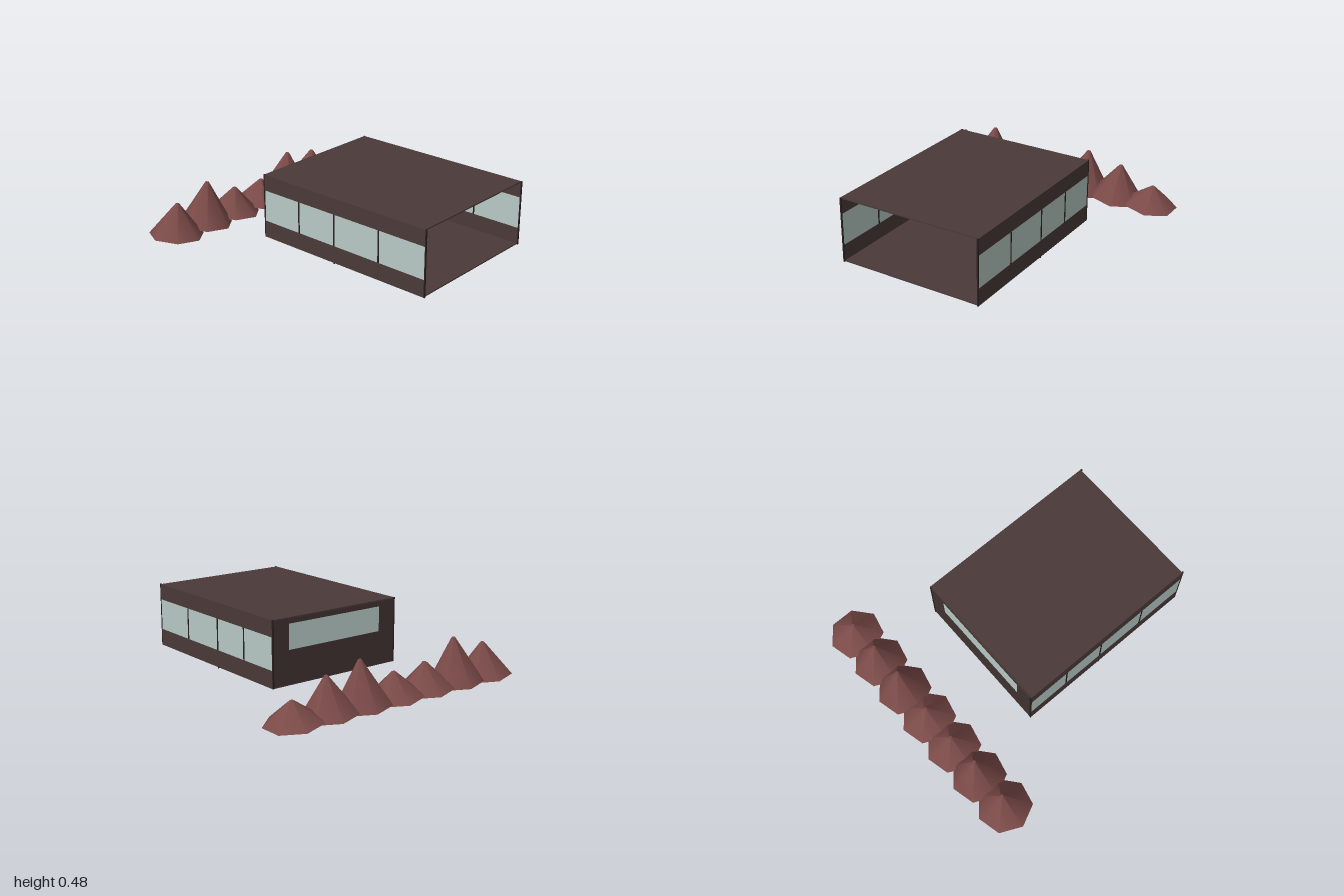
import * as THREE from 'three';

const mat = (name, color) => {
  const m = new THREE.MeshStandardMaterial({ color });
  m.name = name;
  return m;
};

export function createModel() {
  const root = new THREE.Group();
  root.name = 'pavilionWithHills';
  const wall = mat('wallBrown', 0x4a3a39);
  const backBrown = mat('backWallBrown', 0x413231);
  const trim = mat('darkTrim', 0x2a2020);
  const glass = mat('paleGlass', 0xb9cbc7);
  const hillRed = mat('hillRed', 0x7a4a48);
  const bone = mat('paleWood', 0xb5a582);
  const panel = mat('tanPanel', 0xcbb691);
  const orange = mat('orange', 0xc4702f);
  const grey = mat('greyMetal', 0x8a8080);

  const add = (name, geo, m, parent = root) => {
    const mesh = new THREE.Mesh(geo, m);
    mesh.name = name;
    parent.add(mesh);
    return mesh;
  };
  // Box given by its lower and upper corners
  const box = (name, m, x0, x1, y0, y1, z0, z1, parent = root) => {
    const mesh = add(name, new THREE.BoxGeometry(x1 - x0, y1 - y0, z1 - z0), m, parent);
    mesh.position.set((x0 + x1) / 2, (y0 + y1) / 2, (z0 + z1) / 2);
    return mesh;
  };

  // Room shell, open at the front
  const X0 = -0.438, X1 = 0.557, Y0 = 0.052, Y1 = 0.488, Z0 = -0.313, Z1 = 0.99, T = 0.008;
  const room = new THREE.Group();
  room.name = 'room';
  root.add(room);
  box('floor', wall, X0, X1, Y0, Y0 + T, Z0, Z1, room);
  box('roof', wall, X0, X1, Y1 - T, Y1, Z0, Z1, room);
  box('floorJoint', trim, X0 - 0.002, X1 + 0.002, 0.045, Y0 + T, 0.287, 0.293, room);

  // Side walls: two bands, a glass strip and its posts
  const w0 = 0.167, w1 = 0.38;
  for (const [side, x] of [['right', X0], ['left', X1 - T]]) {
    const g = new THREE.Group();
    g.name = side + 'Wall';
    room.add(g);
    box('lowerBand', wall, x, x + T, Y0, w0, Z0, Z1 + 0.006, g);
    box('upperBand', wall, x, x + T, w1, Y1, Z0, Z1 + 0.006, g);
    box('sideGlass', glass, x + 0.001, x + T - 0.001, w0, w1, Z0, Z1, g);
    for (const z of [0.645, 0.29, -0.007])
      box('windowPost', trim, x - 0.002, x + T + 0.002, w0, w1, z - 0.005, z + 0.005, g);
    for (const z of [Z0, Z1 + 0.005])
      box('cornerPost', trim, x - 0.001, x + T + 0.001, Y0, Y1 + 0.001, z - 0.003, z + 0.004, g);
  }

  // Back wall with a wide window
  const bx0 = -0.305, bx1 = 0.43, by0 = 0.28, by1 = 0.447;
  const back = new THREE.Shape();
  back.moveTo(X0, Y0).lineTo(X1, Y0).lineTo(X1, Y1).lineTo(X0, Y1).closePath();
  const hole = new THREE.Path();
  hole.moveTo(bx0, by0).lineTo(bx0, by1).lineTo(bx1, by1).lineTo(bx1, by0).closePath();
  back.holes.push(hole);
  add('backWall', new THREE.ExtrudeGeometry(back, { depth: T, bevelEnabled: false }), backBrown, room).position.z = Z0;
  box('backGlass', glass, bx0, bx1, by0, by1, Z0 + 0.001, Z0 + T - 0.001, room);
  const f = 0.007, fz = Z0 + T;
  box('frameBottom', trim, bx0 - f, bx1 + f, by0 - f, by0, fz, fz + 0.008, room);
  box('frameTop', trim, bx0 - f, bx1 + f, by1, by1 + f, fz, fz + 0.008, room);
  box('frameRight', trim, bx0 - f, bx0, by0, by1, fz, fz + 0.008, room);
  box('frameLeft', trim, bx1, bx1 + f, by0, by1, fz, fz + 0.008, room);

  // Arch of short sticks on the back wall
  const arch = new THREE.Group();
  arch.name = 'stickArch';
  root.add(arch);
  for (let i = 0; i <= 12; i++) {
    const a = (i * Math.PI) / 12;
    const s = add('stick', new THREE.BoxGeometry(0.11, 0.021, 0.02), bone, arch);
    s.position.set(0.06 - 0.463 * Math.cos(a), 0.155 + 0.295 * Math.sin(a), -0.275);
    s.rotation.z = a - Math.PI / 2;
  }

  // Curved orange branches
  const tube = (name, pts, r) => add(name, new THREE.TubeGeometry(
    new THREE.CatmullRomCurve3(pts.map(([x, y]) => new THREE.Vector3(x, y, -0.25))), 20, r, 7), orange);
  tube('lowerBranch', [[-0.345, 0.14], [-0.355, 0.21], [-0.345, 0.28], [-0.315, 0.33]], 0.012);
  tube('upperBranch', [[-0.33, 0.31], [-0.26, 0.345], [-0.17, 0.358], [-0.08, 0.352]], 0.012);
  tube('shortBranch', [[0.447, 0.31], [0.448, 0.335], [0.445, 0.365]], 0.008);

  // Tan panel with two ovals
  box('panelFrame', trim, 0.312, 0.502, 0.106, 0.312, -0.303, -0.272);
  box('tanPanel', panel, 0.32, 0.495, 0.114, 0.304, -0.272, -0.264);
  for (const x of [0.377, 0.431]) {
    const o = add('panelOval', new THREE.SphereGeometry(1, 16, 10), orange);
    o.scale.set(0.024, 0.038, 0.012);
    o.position.set(x, 0.224, -0.262);
  }

  // Low table
  const table = new THREE.Group();
  table.name = 'lowTable';
  table.position.set(0.055, 0, 0.117);
  root.add(table);
  box('tableTop', grey, -0.115, 0.115, 0.1, 0.107, -0.07, 0.07, table);
  box('tableShelf', trim, -0.1, 0.1, 0.062, 0.067, -0.06, 0.06, table);
  for (const x of [-0.103, 0.103]) for (const z of [-0.055, 0.055])
    box('tableLeg', orange, x - 0.006, x + 0.006, 0.058, 0.1, z - 0.006, z + 0.006, table);
  box('tableFoot', orange, -0.083, -0.047, 0.05, 0.062, -0.008, 0.008, table);

  // Row of tilted seven-sided hills behind the room
  const hills = new THREE.Group();
  hills.name = 'hills';
  root.add(hills);
  [0.245, 0.32, 0.205, 0.19, 0.315, 0.265, 0.165].forEach((top, i) => {
    const h = top - 0.027;
    const geo = new THREE.CylinderGeometry(0.012, 0.184, h, 7, 1);
    geo.translate(0, h / 2, 0).rotateY(-Math.PI / 2);
    const hill = add('hill', geo, hillRed, hills);
    hill.position.set(-0.768 + i * 0.2588, 0.026, -0.82);
    hill.rotation.z = -0.1;
  });
  return root;
}
